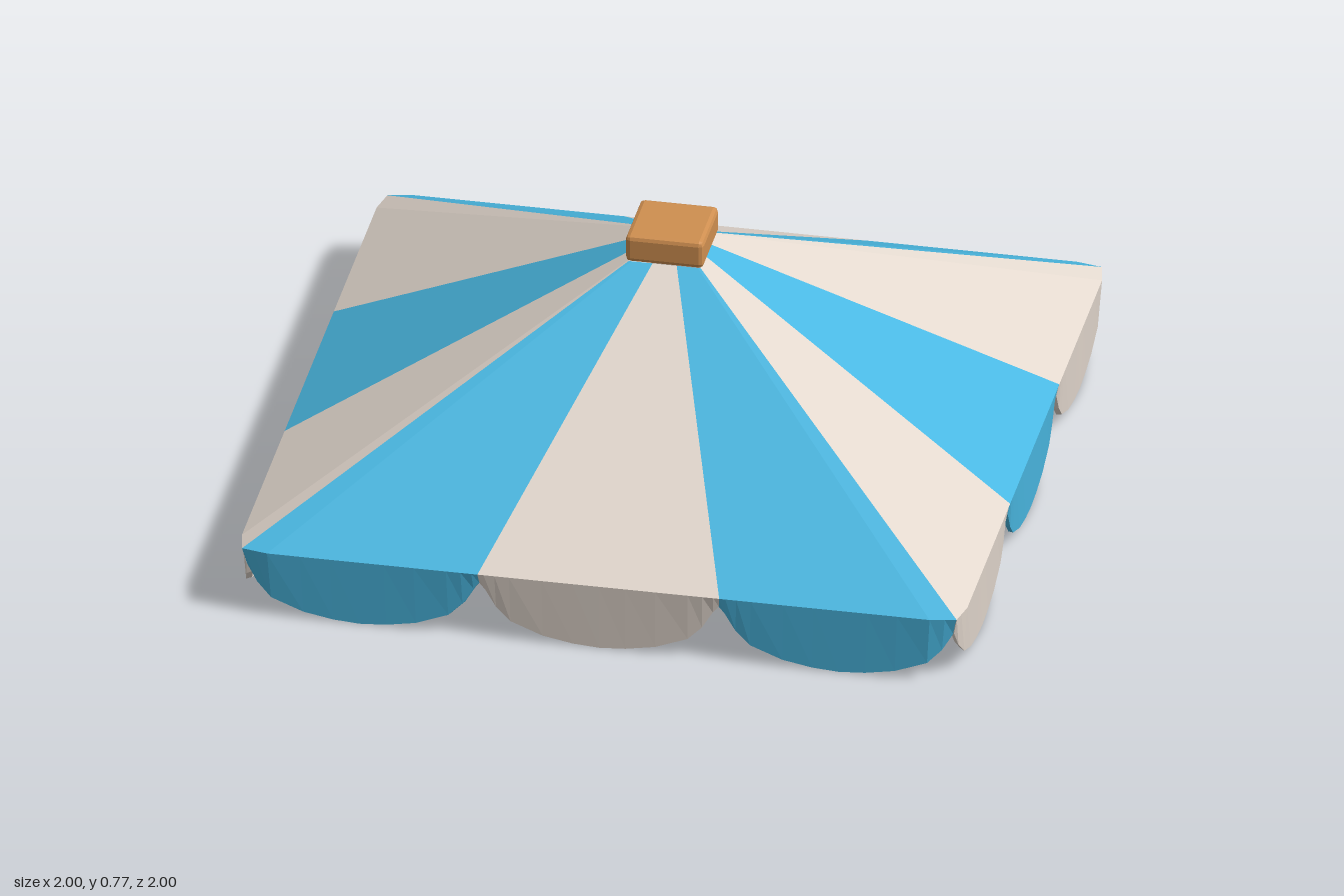
import * as THREE from 'three';
import { RoundedBoxGeometry } from 'three/addons/geometries/RoundedBoxGeometry.js';

const blue = new THREE.MeshStandardMaterial({ name: 'blue cloth', color: 0x4ab8e2 });
const cream = new THREE.MeshStandardMaterial({ name: 'cream cloth', color: 0xe3d8ce });
const wood = new THREE.MeshStandardMaterial({ name: 'wood', color: 0xcf8f50 });

// Half of a scallop's lower edge: [offset from its middle, height]
const halfScallop = [[0, 0.005], [0.22, 0.01], [0.47, 0.025], [0.74, 0.06], [0.86, 0.1], [0.95, 0.15], [1, 0.17]];
const scallop = [
  ...halfScallop.slice(1).reverse().map(([t, y]) => [-t, y]),
  ...halfScallop,
];

// Closed section through roof and valance: outside down, then inside up
function section(center, [t, hem]) {
  const x = THREE.MathUtils.clamp(center + t / 3, -0.985, 0.985);
  // Eaves bend in slightly at the corners
  const z = 1 - 0.015 * Math.max(0, (Math.abs(x) - 0.913) / 0.072);
  const rows = [[0.1, 0.7], [1, 0.2], [0.99, hem], [0.976, hem], [0.98, 0.185], [0.09, 0.68]];
  return rows.map(([scale, y]) => [x * scale, y, z * scale]);
}

// One cloth stripe with its scalloped flap
function stripeGeometry(center) {
  const columns = scallop.map((point) => section(center, point));
  const positions = [];
  for (let c = 0; c < columns.length - 1; c++) {
    const a = columns[c], b = columns[c + 1];
    for (let i = 0; i < a.length - 1; i++) {
      positions.push(...a[i], ...a[i + 1], ...b[i + 1], ...a[i], ...b[i + 1], ...b[i]);
    }
  }
  const geometry = new THREE.BufferGeometry();
  geometry.setAttribute('position', new THREE.Float32BufferAttribute(positions, 3));
  geometry.computeVertexNormals();
  return geometry;
}

export function createModel() {
  const model = new THREE.Group();
  model.name = 'canopy';

  // Four sides of three stripes, colours alternating all the way round
  const stripes = [-2 / 3, 0, 2 / 3].map(stripeGeometry);
  ['front', 'left', 'back', 'right'].forEach((name, side) => {
    const group = new THREE.Group();
    group.name = `${name}Side`;
    group.rotation.y = side * Math.PI / 2;
    stripes.forEach((geometry, i) => {
      const stripe = new THREE.Mesh(geometry, (side + i) % 2 ? cream : blue);
      stripe.name = 'clothStripe';
      group.add(stripe);
    });
    model.add(group);
  });

  // Bevelled wooden cap at the peak
  const capGeometry = new RoundedBoxGeometry(0.215, 0.08, 0.215, 1, 0.013);
  capGeometry.computeVertexNormals();
  const cap = new THREE.Mesh(capGeometry, wood);
  cap.name = 'peakCap';
  cap.position.y = 0.74;
  model.add(cap);

  return model;
}
